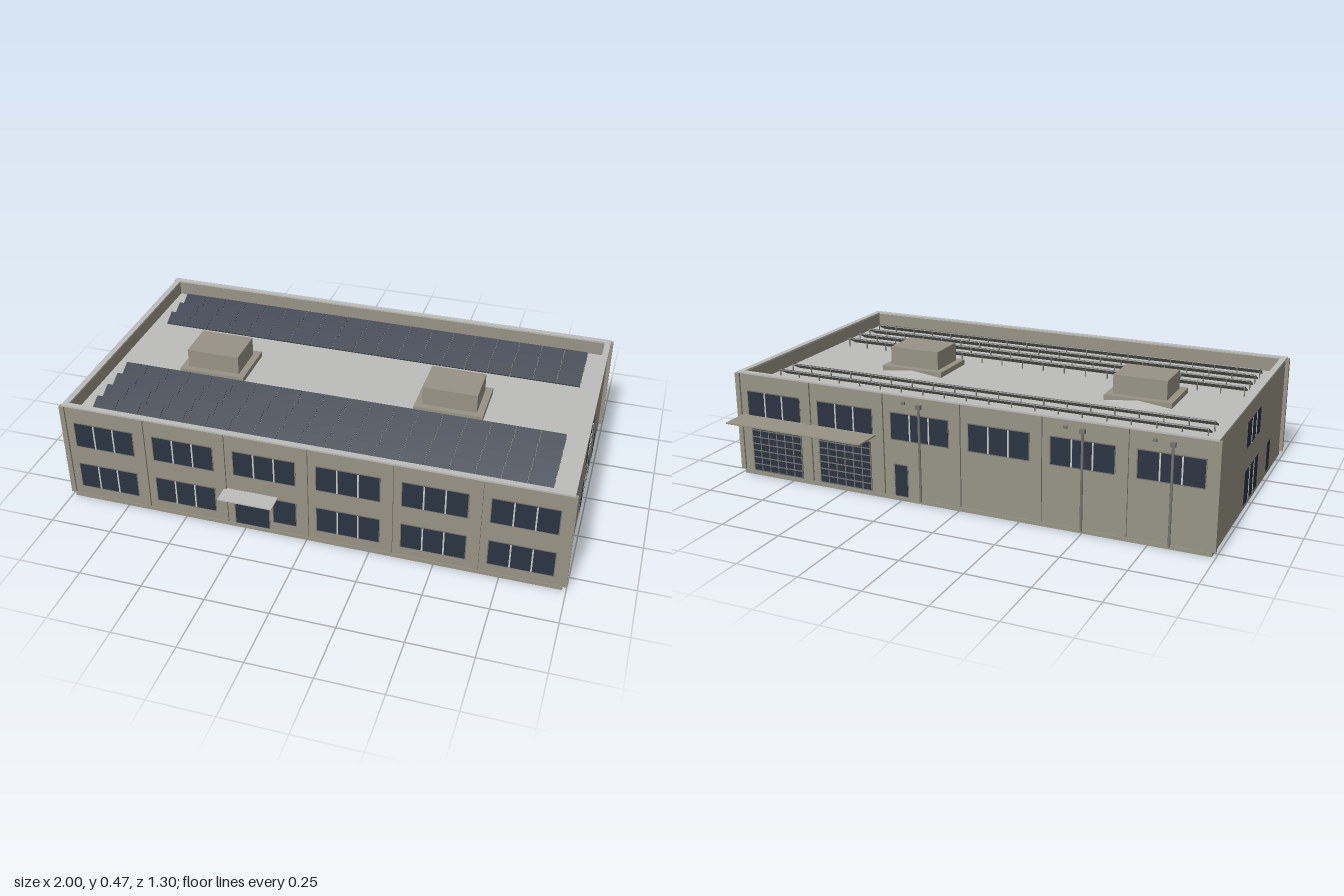
import * as THREE from 'three';

const mat = (name, color) => {
  const m = new THREE.MeshStandardMaterial({ color });
  m.name = name;
  return m;
};

export function createModel() {
  const wallMat = mat('wall', 0x979385);
  const roofMat = mat('roof', 0xbcbcba);
  const glassMat = mat('glass', 0x2b3442);
  const frameMat = mat('frame', 0xc9c9c6);
  const panelMat = mat('solarPanel', 0x27303f);
  const metalMat = mat('metal', 0x767570);

  const model = new THREE.Group();
  model.name = 'building';

  // Box given by its limits on each axis
  const box = (parent, name, m, x0, x1, y0, y1, z0, z1) => {
    const mesh = new THREE.Mesh(new THREE.BoxGeometry(x1 - x0, y1 - y0, z1 - z0), m);
    mesh.position.set((x0 + x1) / 2, (y0 + y1) / 2, (z0 + z1) / 2);
    mesh.name = name;
    parent.add(mesh);
    return mesh;
  };
  const group = (name, parent = model) => {
    const g = new THREE.Group();
    g.name = name;
    parent.add(g);
    return g;
  };

  const W = 0.985, ZF = 0.573, ZB = -0.531, ROOF = 0.37, TOP = 0.43;

  // Main block and roof deck
  box(model, 'body', wallMat, -W, W, 0, ROOF - 0.004, ZB, ZF);
  box(model, 'roofDeck', roofMat, -W + 0.01, W - 0.01, ROOF - 0.004, ROOF, ZB + 0.01, ZF - 0.01);

  // Rectangular ring around the roof edge
  const ring = (name, m, out, thick, y0, y1) => {
    const rect = (P, d) => P.setFromPoints([
      [-W - d, -ZF - d], [W + d, -ZF - d], [W + d, -ZB + d], [-W - d, -ZB + d],
    ].map(([x, y]) => new THREE.Vector2(x, y)));
    const shape = rect(new THREE.Shape(), out);
    shape.holes.push(rect(new THREE.Path(), out - thick));
    const geo = new THREE.ExtrudeGeometry(shape, { depth: y1 - y0, bevelEnabled: false });
    geo.rotateX(-Math.PI / 2);
    const mesh = new THREE.Mesh(geo, m);
    mesh.position.y = y0;
    mesh.name = name;
    model.add(mesh);
  };
  ring('parapet', wallMat, 0, 0.015, ROOF - 0.004, TOP);
  ring('coping', roofMat, 0.005, 0.024, TOP, 0.437);

  // One group per facade: local x runs along the wall, local z points outwards
  const facade = (name, x, z, angle) => {
    const g = group(name);
    g.position.set(x, 0, z);
    g.rotation.y = angle;
    return g;
  };
  const front = facade('frontFacade', 0, ZF, 0);
  const back = facade('backFacade', 0, ZB, Math.PI);
  const right = facade('leftFacade', W, 0.022, Math.PI / 2);
  const left = facade('rightFacade', -W, 0.022, -Math.PI / 2);

  // Glazed opening with a thin surround and light mullions
  const glazing = (parent, name, x0, x1, y0, y1, panes) => {
    const g = group(name, parent), b = 0.004;
    box(g, 'surround', metalMat, x0 - b, x1 + b, y0 - b, y1 + b, -0.002, 0.001);
    box(g, 'glass', glassMat, x0, x1, y0, y1, -0.002, 0.002);
    for (let i = 1; i < panes; i++) {
      const x = x0 + (x1 - x0) * i / panes;
      box(g, 'mullion', frameMat, x - 0.003, x + 0.003, y0, y1, 0, 0.004);
    }
  };

  // Long facades: pilasters, plinth line and upper windows
  for (const f of [front, back]) {
    for (let i = -3; i <= 3; i++) {
      const x = i * 0.33;
      box(f, 'pilaster', wallMat, x - 0.01, x + 0.01, 0.02, TOP, -0.01, 0.008);
    }
    box(f, 'plinth', wallMat, -W, W, 0, 0.015, -0.005, 0.003);
    for (let i = 0; i < 6; i++) {
      const c = -0.825 + i * 0.33;
      glazing(f, 'upperWindow', c - 0.122, c + 0.122, 0.252, 0.357, 3);
    }
  }

  // Front ground floor with entrance door and canopy
  for (let i = 0; i < 6; i++) {
    const c = -0.825 + i * 0.33;
    if (i !== 2) glazing(front, 'lowerWindow', c - 0.122, c + 0.122, 0.058, 0.164, 3);
  }
  glazing(front, 'entranceDoor', -0.289, -0.152, 0.02, 0.164, 1);
  glazing(front, 'entranceWindow', -0.132, -0.043, 0.058, 0.164, 1);
  box(front, 'entranceCanopy', roofMat, -0.33, -0.113, 0.173, 0.179, 0, 0.075);

  // End walls: stacked glazing and a side door, the same turned half round
  for (const f of [right, left]) {
    glazing(f, 'upperWindow', -0.11, 0.107, 0.252, 0.355, 3);
    glazing(f, 'glazedDoor', -0.11, 0.107, 0.02, 0.157, 3);
    glazing(f, 'sideDoor', 0.271, 0.325, 0.02, 0.147, 1);
  }

  // Back loading doors with a light grid (local x is mirrored here)
  for (const c of [-0.82, -0.5]) {
    const g = group('loadingDoor', back), w = 0.117, y0 = 0.02, y1 = 0.225;
    box(g, 'doorPanel', glassMat, c - w, c + w, y0, y1, -0.002, 0.002);
    for (let i = 0; i <= 6; i++) {
      const x = c - w + 2 * w * i / 6;
      box(g, 'gridBar', metalMat, x - 0.002, x + 0.002, y0, y1, 0, 0.004);
    }
    for (let i = 0; i <= 7; i++) {
      const y = y0 + (y1 - y0) * i / 7;
      box(g, 'gridRail', metalMat, c - w, c + w, y - 0.002, y + 0.002, 0, 0.004);
    }
  }
  box(back, 'loadingCanopy', wallMat, -0.975, -0.357, 0.251, 0.257, 0, 0.119);
  glazing(back, 'backDoor', -0.275, -0.222, 0.02, 0.147, 1);

  // Rainwater pipes with hopper heads, and overflow spouts beside them
  for (const x of [-0.163, 0.497, 0.83]) {
    const pipe = new THREE.Mesh(new THREE.CylinderGeometry(0.005, 0.005, 0.385, 10), metalMat);
    pipe.position.set(x, 0.2025, 0.006);
    pipe.name = 'downpipe';
    back.add(pipe);
    box(back, 'hopper', metalMat, x - 0.01, x + 0.01, 0.388, 0.405, 0, 0.014);
    box(back, 'spout', metalMat, x - 0.073, x - 0.059, 0.398, 0.408, 0, 0.01);
  }

  // Roof vents on base plates, each with a low sloped cricket behind
  for (const c of [-0.553, 0.437]) {
    const g = group('roofVent');
    box(g, 'ventBase', wallMat, c - 0.138, c + 0.138, ROOF, ROOF + 0.022, -0.093, 0.128);
    box(g, 'ventHousing', wallMat, c - 0.11, c + 0.11, ROOF + 0.022, 0.47, -0.065, 0.102);
    const geo = new THREE.BufferGeometry();
    geo.setAttribute('position', new THREE.Float32BufferAttribute([
      c - 0.138, ROOF, -0.093, c, ROOF + 0.016, -0.093, c, ROOF, -0.168,
      c, ROOF + 0.016, -0.093, c + 0.138, ROOF, -0.093, c, ROOF, -0.168,
    ], 3));
    geo.computeVertexNormals();
    const cricket = new THREE.Mesh(geo, roofMat);
    cricket.name = 'cricket';
    g.add(cricket);
  }

  // Tilted solar rows, low edge to the front
  const N = 19, X0 = -0.908, step = 1.813 / N;
  for (const z of [-0.425, -0.338, -0.249, 0.2, 0.289, 0.377, 0.465]) {
    const row = group('solarRow');
    row.position.set(0, 0.394, z);
    row.rotation.x = 0.5;
    for (let i = 0; i < N; i++) {
      const x = X0 + i * step;
      box(row, 'solarPanel', panelMat, x + 0.001, x + step - 0.001, 0, 0.003, -0.031, 0.031);
    }
    box(row, 'backing', metalMat, X0, X0 + 1.813, -0.003, 0, -0.031, 0.031);
    for (let i = 0; i <= N; i++) {
      const x = X0 + Math.min(i * step, 1.809);
      box(model, 'panelLeg', metalMat, x, x + 0.004, ROOF, 0.404, z - 0.026, z - 0.022);
    }
  }

  return model;
}
